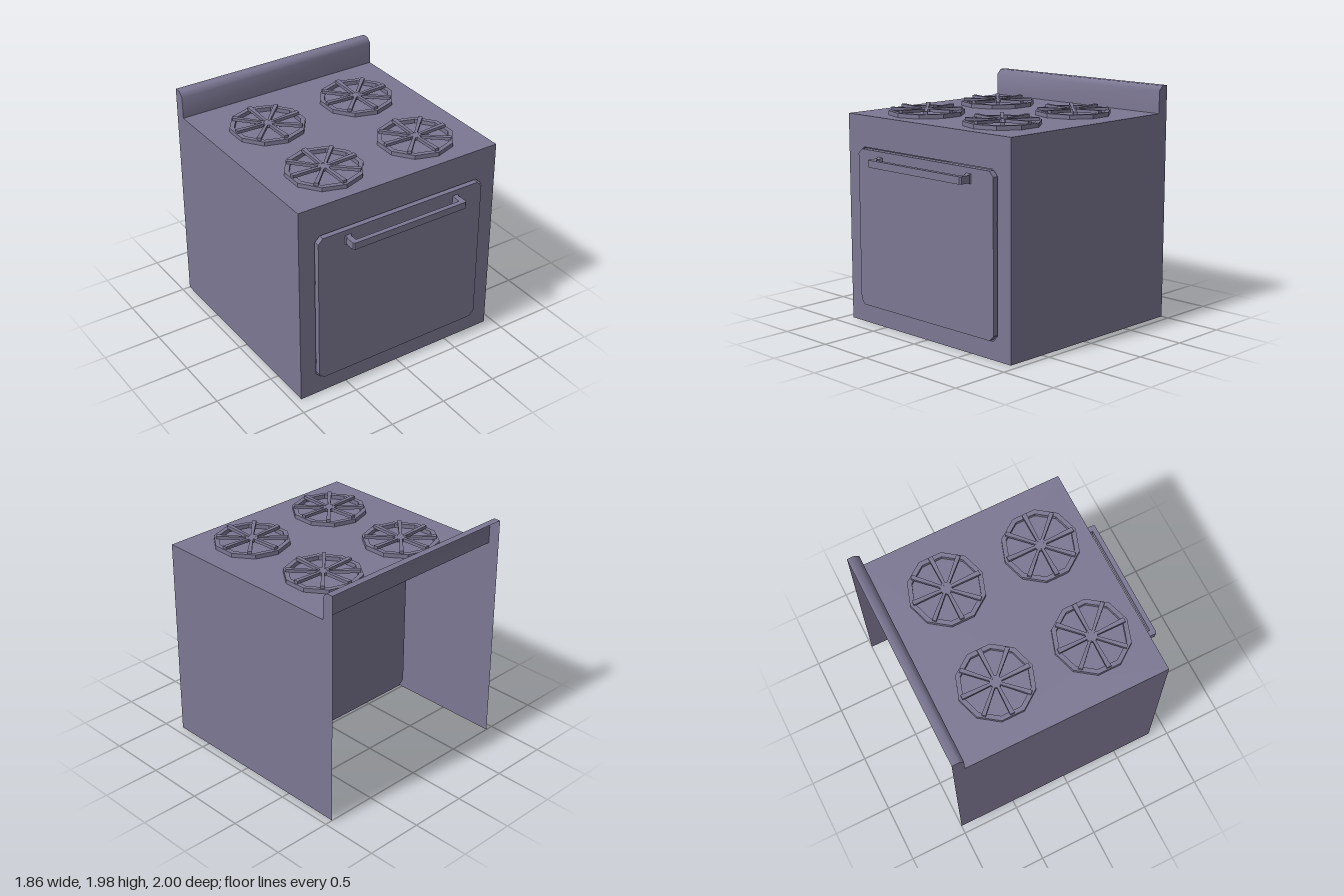
import * as THREE from 'three';

const COLOR = 0x7c7793;
const solid = new THREE.MeshStandardMaterial({ color: COLOR });
const sheet = new THREE.MeshStandardMaterial({ color: COLOR, side: THREE.DoubleSide });
const V2 = (x, y) => new THREE.Vector2(x, y);

function add(parent, name, geometry, material = solid) {
  const mesh = new THREE.Mesh(geometry, material);
  mesh.name = name;
  parent.add(mesh);
  return mesh;
}

// Gives every face its own flat normal
function faceted(geometry) {
  const g = geometry.toNonIndexed();
  g.computeVertexNormals();
  return g;
}

// Open-ended tube of flat walls around an outline
function walls(outline, z0, z1) {
  const pos = [];
  outline.forEach((p, i) => {
    const q = outline[(i + 1) % outline.length];
    for (const [v, z] of [[p, z0], [p, z1], [q, z1], [p, z0], [q, z1], [q, z0]]) pos.push(v.x, v.y, z);
  });
  const g = new THREE.BufferGeometry();
  g.setAttribute('position', new THREE.Float32BufferAttribute(pos, 3));
  g.computeVertexNormals();
  return g;
}

// Rectangle with cut corners, anticlockwise
function doorOutline(halfX, y0, y1, cut) {
  return [
    [halfX, y1 - cut], [halfX - cut, y1], [cut - halfX, y1], [-halfX, y1 - cut],
    [-halfX, y0 + cut], [cut - halfX, y0], [halfX - cut, y0], [halfX, y0 + cut],
  ].map(([x, y]) => V2(x, y));
}

function decagon(r, cx = 0, cy = 0) {
  return Array.from({ length: 10 }, (_, i) => {
    const t = Math.PI / 2 + i * Math.PI / 5;
    return V2(cx + r * Math.cos(t), cy + r * Math.sin(t));
  });
}

// Extrudes a plan shape (x, z) downwards from a given height
function plate(shape, top, height) {
  return new THREE.ExtrudeGeometry(shape, { depth: height, bevelEnabled: false })
    .rotateX(Math.PI / 2).translate(0, top, 0);
}

const W = 0.93, D = 0.853, TOP = 1.752, RING = 0.315;

function makeBurner() {
  const burner = new THREE.Group();
  // Raised ten-sided ring, hollow underneath, with the floor inside it
  const profile = [V2(0, TOP), V2(0.276, TOP), V2(0.276, 1.787), V2(RING, 1.787), V2(RING, TOP)];
  add(burner, 'burnerRing', faceted(new THREE.LatheGeometry(profile, 10)), sheet);
  add(burner, 'burnerHub', plate(new THREE.Shape(decagon(0.05)), 1.797, 0.025));
  // Spokes narrow and dip towards the hub
  for (let i = 0; i < 8; i++) {
    const g = new THREE.BoxGeometry(0.26, 0.026, i % 2 ? 0.035 : 0.038);
    const p = g.attributes.position;
    for (let k = 0; k < p.count; k++) {
      if (p.getX(k) < 0) {
        p.setZ(k, p.getZ(k) * 0.6);
        p.setY(k, p.getY(k) - 0.012);
      }
    }
    g.translate(0.16, 1.797, 0);
    add(burner, 'burnerSpoke', faceted(g)).rotation.y = i * Math.PI / 4;
  }
  return burner;
}

export function createModel() {
  const model = new THREE.Group();
  model.name = 'stove';

  // Cooktop, cut out below each burner ring
  const top = new THREE.Shape([V2(-W, -0.9), V2(W, -0.9), V2(W, D), V2(-W, D)]);
  for (const x of [-0.43, 0.436]) for (const z of [-0.392, 0.438]) {
    top.holes.push(new THREE.Path(decagon(RING, x, z)));
    const burner = makeBurner();
    burner.name = (z > 0 ? 'front' : 'back') + (x > 0 ? 'Left' : 'Right') + 'Burner';
    burner.position.set(x, 0, z);
    model.add(burner);
  }
  add(model, 'cooktop',
    new THREE.ShapeGeometry(top).rotateX(Math.PI / 2).translate(0, TOP, 0), sheet);

  // Back guard: a sheet bent over at the top, open behind
  const bend = [[-1, 1.98], [-0.94, 1.98], [-0.9, 1.94], [-0.9, TOP]];
  const guard = new THREE.PlaneGeometry(2 * W, 1, 1, bend.length - 1);
  const gp = guard.attributes.position;
  for (let k = 0; k < gp.count; k++) {
    const [z, y] = bend[Math.floor(k / 2)];
    gp.setY(k, y);
    gp.setZ(k, z);
  }
  guard.computeVertexNormals();
  add(model, 'backGuard', guard, sheet);

  // Side panels follow the same profile
  const side = new THREE.Shape([[-1, 0], ...bend, [D, TOP], [D, 0]].map(([z, y]) => V2(-z, y)));
  for (const s of [-1, 1]) {
    const g = new THREE.ShapeGeometry(side).rotateY(Math.PI / 2).translate(s * W, 0, 0);
    add(model, s > 0 ? 'leftPanel' : 'rightPanel', g, sheet);
  }

  // Front panel with the oven opening
  const opening = doorOutline(0.788, 0.15, 1.49, 0.046);
  const front = new THREE.Shape([V2(-W, 0), V2(W, 0), V2(W, TOP), V2(-W, TOP)]);
  front.holes.push(new THREE.Path(opening));
  add(model, 'frontPanel', new THREE.ShapeGeometry(front).translate(0, 0, D), sheet);

  // Oven cavity behind the opening
  const back = -0.14;
  add(model, 'ovenWalls', walls(opening, back, D), sheet);
  add(model, 'ovenBack',
    new THREE.ShapeGeometry(new THREE.Shape(opening)).translate(0, 0, back), sheet);

  // Door
  add(model, 'ovenDoor', new THREE.ExtrudeGeometry(
    new THREE.Shape(doorOutline(0.776, 0.16, 1.48, 0.042)),
    { depth: 0.055, bevelEnabled: false }).translate(0, 0, 0.83));

  // Hinge pins bridging the gap beside the door
  for (const s of [-1, 1]) for (const y of [0.31, 1.07]) {
    add(model, 'hingePin', new THREE.BoxGeometry(0.02, 0.04, 0.012).translate(s * 0.778, y, 0.836));
  }

  // Handle: a U-shaped bar with flared feet
  const handle = new THREE.Group();
  handle.name = 'doorHandle';
  handle.position.x = 0.004;
  model.add(handle);
  const half = [[0.49, 0.96], [0.49, 0.88], [0.526, 0.88], [0.537, 0.91], [0.537, 0.988], [0.525, 1]];
  const u = [...half, ...half.map(([x, z]) => [-x, z]).reverse()];
  add(handle, 'handleBar', plate(new THREE.Shape(u.map(([x, z]) => V2(x, z))), 1.425, 0.06));
  for (const s of [-1, 1]) {
    const g = new THREE.BoxGeometry(0.055, 0.08, 0.024);
    const p = g.attributes.position;
    for (let k = 0; k < p.count; k++) {
      if (p.getZ(k) > 0) p.setXY(k, p.getX(k) * 0.65, p.getY(k) * 0.75);
    }
    add(handle, 'handleFoot', faceted(g.translate(s * 0.51, 1.395, 0.896)));
  }
  return model;
}
